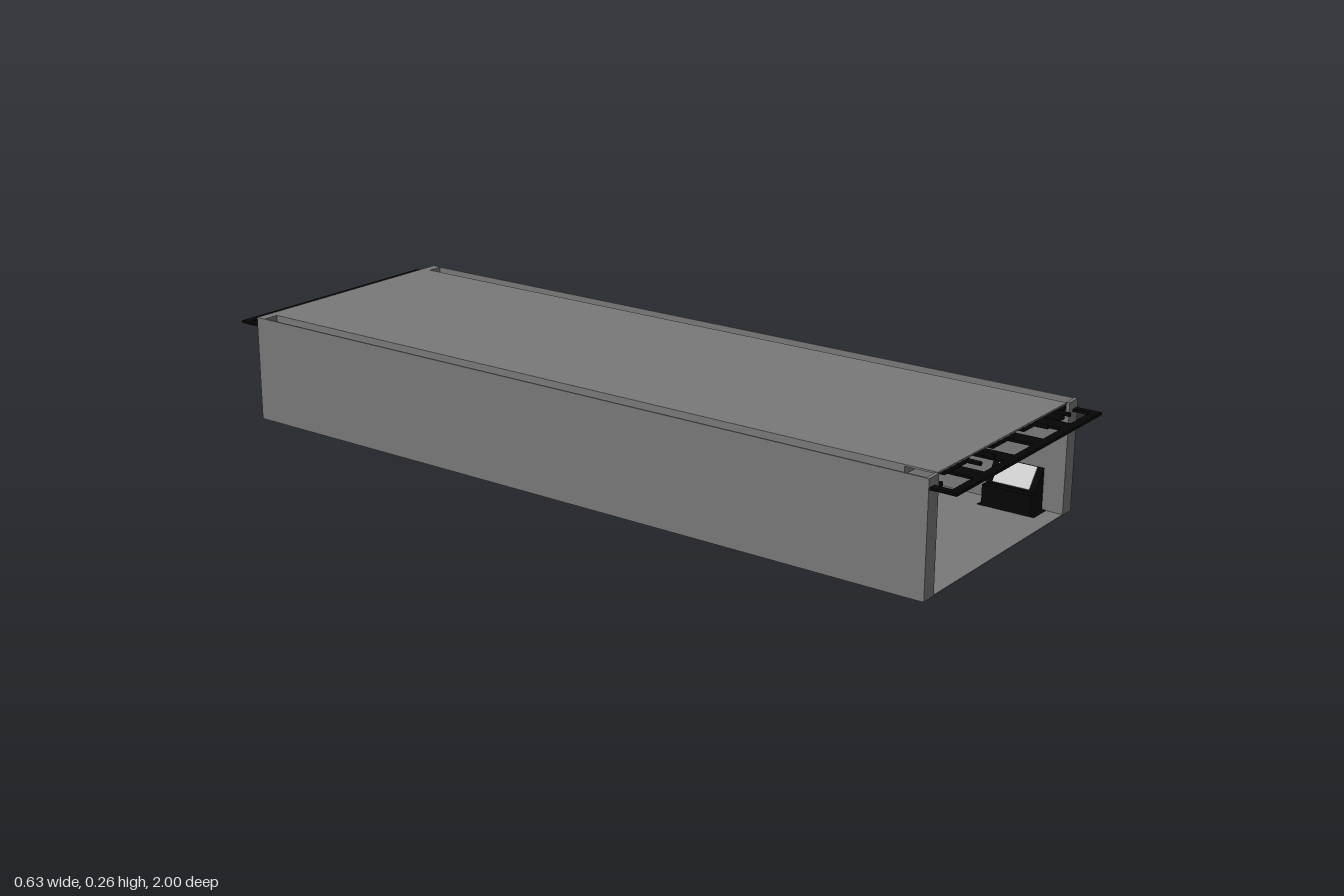
import * as THREE from 'three';

const grey = new THREE.MeshStandardMaterial({ color: 0x797979, side: THREE.DoubleSide });
const lightGrey = new THREE.MeshStandardMaterial({ color: 0xcccccc });
const black = new THREE.MeshStandardMaterial({ color: 0x050505 });
const blue = new THREE.MeshStandardMaterial({ color: 0x83a8fc });

export function createModel() {
  const model = new THREE.Group();

  const add = (name, geometry, material) => {
    const mesh = new THREE.Mesh(geometry, material);
    mesh.name = name;
    model.add(mesh);
    return mesh;
  };
  // box given by its limits on each axis
  const box = (name, material, x0, x1, y0, y1, z0, z1) => {
    const mesh = add(name, new THREE.BoxGeometry(Math.abs(x1 - x0), y1 - y0, z1 - z0), material);
    mesh.position.set((x0 + x1) / 2, (y0 + y1) / 2, (z0 + z1) / 2);
  };
  // shape in x/y extruded from z0 to z1
  const extrude = (name, material, shape, z0, z1) => {
    const geometry = new THREE.ExtrudeGeometry(shape, { depth: z1 - z0, bevelEnabled: false, curveSegments: 8 });
    add(name, geometry, material).position.z = z0;
  };
  const vectors = (points, s = 1) => points.map(([x, y]) => new THREE.Vector2(s * x, y));
  const prism = (name, material, points, s, z0, z1) =>
    extrude(name, material, new THREE.Shape(vectors(points, s)), z0, z1);

  // floor, thin roof sheet and the slab beneath it
  box('floor', grey, -0.29, 0.29, 0.001, 0.003, -0.94, 0.94);
  box('roofSheet', grey, -0.275, 0.275, 0.256, 0.26, -0.94, 0.935);
  box('roofSlab', grey, -0.275, 0.275, 0.238, 0.256, -0.939, 0.86);

  // end frame with an angular opening, closed by a recessed blue panel
  const half = [[0.17, 0.002], [0.24, 0.052], [0.278, 0.1], [0.278, 0.175], [0.225, 0.223],
    [0.215, 0.24], [0.155, 0.24], [0.15, 0.223], [0.115, 0.2]];
  const opening = [...half, ...half.map(([x, y]) => [-x, y]).reverse()];
  const frame = new THREE.Shape(vectors([[-0.317, 0.001], [0.317, 0.001], [0.317, 0.26], [-0.317, 0.26]]));
  frame.holes.push(new THREE.Path(vectors(opening)));
  extrude('backFrame', grey, frame, -0.94, -0.915);
  prism('backPanel', blue, opening, 1, -0.93, -0.914);
  box('backHeader', grey, -0.278, 0.278, 0.223, 0.239, -0.912, -0.905);

  for (const s of [-1, 1]) {
    // hollow side wall: outer sheet, inner sheet, front cap
    box('outerWall', grey, s * 0.313, s * 0.317, 0, 0.26, -0.94, 0.94);
    box('innerWall', grey, s * 0.278, s * 0.282, 0.002, 0.235, -0.94, 0.938);
    box('wallFrontCap', grey, s * 0.278, s * 0.316, 0.001, 0.26, 0.932, 0.94);

    for (const z of [0.83, 0.33, -0.17, -0.67]) {
      // floor support on a base plate, with a sloped pad on top
      const support = [[0.278, 0.001], [0.222, 0.001], [0.222, 0.052], [0.24, 0.052], [0.278, 0.1]];
      prism('floorSupport', black, support, s, z - 0.06, z + 0.06);
      box('supportBase', black, s * 0.222, s * 0.305, 0, 0.004, z - 0.07, z + 0.07);
      prism('supportPad', lightGrey, [[0.243, 0.055], [0.276, 0.097], [0.275, 0.1], [0.241, 0.057]], s, z - 0.045, z + 0.045);
    }
    // small fasteners between supports
    for (const z of [0.66, 0.5, 0.16, 0, -0.34, -0.5, -0.84]) {
      box('floorFastener', black, s * 0.288, s * 0.313, 0, 0.008, z - 0.015, z + 0.015);
    }

    // ceiling corner strip and its angled cover
    box('ceilingStrip', black, s * 0.243, s * 0.278, 0.221, 0.23, -0.904, 0.93);
    prism('ceilingCover', grey, [[0.278, 0.202], [0.243, 0.22], [0.243, 0.222], [0.278, 0.204]], s, -0.904, 0.92);

    // surrounding rail: long side, end bar, and links to the roof
    box('railSide', black, s * 0.295, s * 0.313, 0.235, 0.241, -1, 1);
    box('railEnd', black, -0.313, 0.313, 0.235, 0.241, s > 0 ? 0.98 : -1, s > 0 ? 1 : -0.98);
    for (let i = 0; i < 17; i++) {
      const z = -0.88 + i * 0.1115;
      box('railSideLink', black, s * 0.27, s * 0.3, 0.235, 0.242, z - 0.02, z + 0.02);
    }
    for (const x of [-0.19, -0.065, 0.06, 0.185]) {
      box('railEndLink', black, x - 0.021, x + 0.021, 0.235, 0.241, s > 0 ? 0.87 : -0.985, s > 0 ? 0.985 : -0.935);
    }
  }

  // rounded ducts under the front edge of the roof
  const r = 0.005;
  for (const [x0, x1] of [[-0.25, -0.145], [-0.053, 0.045], [0.08, 0.138]]) {
    const duct = new THREE.Shape();
    duct.absarc(x1 - r, 0.25, r, -Math.PI / 2, Math.PI / 2);
    duct.absarc(x0 + r, 0.25, r, Math.PI / 2, Math.PI * 1.5);
    extrude('roofDuct', black, duct, 0.855, 0.934);
  }
  // short pins beside the ducts
  for (const x of [-0.155, -0.1, 0.13, 0.232]) {
    const pin = add('roofPin', new THREE.CylinderGeometry(r, r, 0.11, 12), black);
    pin.rotation.x = Math.PI / 2;
    pin.position.set(x, 0.25, 0.91);
  }
  return model;
}
